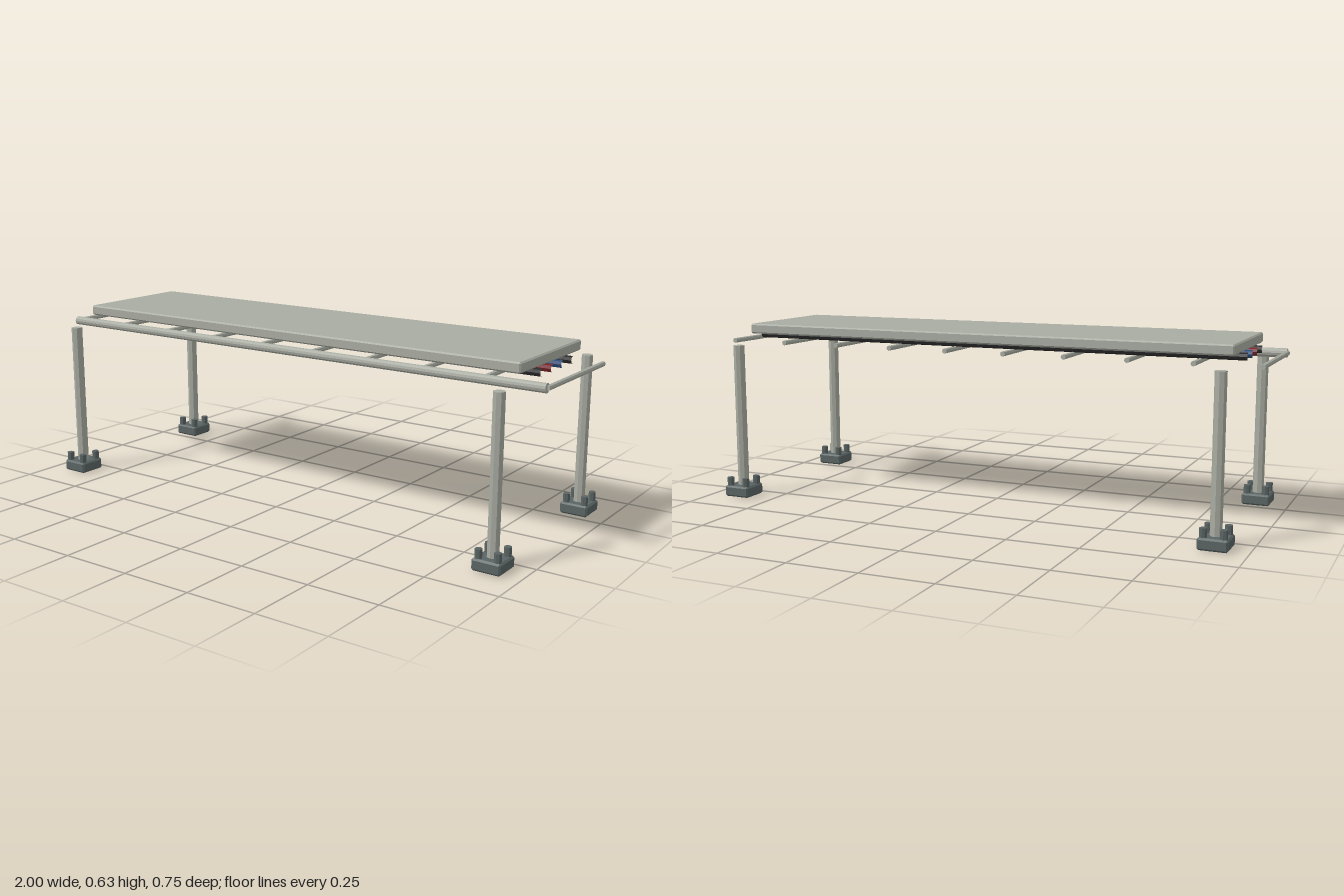
import * as THREE from 'three';
import { ConvexGeometry } from 'three/addons/geometries/ConvexGeometry.js';

function material(name, color) {
  const m = new THREE.MeshStandardMaterial({ color, flatShading: true });
  m.name = name;
  return m;
}

// Box with every edge chamfered by c
function chamferBox(w, h, d, c) {
  const pts = [];
  for (const sx of [-1, 1]) for (const sy of [-1, 1]) for (const sz of [-1, 1]) {
    const x = sx * w / 2, y = sy * h / 2, z = sz * d / 2;
    pts.push(
      new THREE.Vector3(x, y - sy * c, z - sz * c),
      new THREE.Vector3(x - sx * c, y, z - sz * c),
      new THREE.Vector3(x - sx * c, y - sy * c, z));
  }
  return new ConvexGeometry(pts);
}

export function createModel() {
  const concrete = material('pale grey', 0xa9aca2);
  const iron = material('dark slate', 0x5a6464);
  const black = material('black', 0x2a2a2a);
  const red = material('dark red', 0x7a2428);
  const blue = material('dark blue', 0x2c4a78);

  const model = new THREE.Group();
  model.name = 'cableWalkway';

  function add(parent, name, geometry, mat, x, y, z) {
    const mesh = new THREE.Mesh(geometry, mat);
    mesh.name = name;
    mesh.position.set(x, y, z);
    parent.add(mesh);
    return mesh;
  }

  // Deck slab
  add(model, 'deck', chamferBox(1.81, 0.036, 0.45, 0.005), concrete, 0, 0.61, 0);

  // Cables under the deck: open tubes along x
  const cableGeo = new THREE.CylinderGeometry(0.013, 0.013, 1.85, 8, 1, true).rotateZ(Math.PI / 2);
  [black, blue, red, black].forEach((mat, i) => {
    add(model, 'cable', cableGeo, mat, 0, 0.58, -0.115 + i * 0.0767);
  });

  // Front rail with ten cross bars running backwards
  const railGeo = new THREE.CylinderGeometry(0.016, 0.016, 1.982, 12).rotateZ(Math.PI / 2);
  add(model, 'frontRail', railGeo, concrete, 0, 0.56, 0.217);
  const barGeo = new THREE.CylinderGeometry(0.009, 0.009, 0.423, 8).rotateX(Math.PI / 2);
  for (let i = 0; i < 10; i++) {
    add(model, 'crossBar', barGeo, concrete, -0.991 + i * 1.982 / 9, 0.56, 0.0055);
  }

  // Four posts, each on a bolted foot
  const postGeo = new THREE.CylinderGeometry(0.02, 0.02, 0.538, 8);
  const footGeo = chamferBox(0.1, 0.04, 0.1, 0.006);
  const boltGeo = new THREE.CylinderGeometry(0.0125, 0.0125, 0.04, 8);
  for (const sx of [-1, 1]) for (const sz of [-1, 1]) {
    const leg = new THREE.Group();
    leg.name = 'leg';
    leg.position.set(sx * 0.888, 0, sz * 0.3235);
    add(leg, 'post', postGeo, concrete, 0, 0.289, 0);
    add(leg, 'foot', footGeo, iron, 0, 0.02, 0);
    for (const bx of [-1, 1]) for (const bz of [-1, 1]) {
      add(leg, 'bolt', boltGeo, iron, bx * 0.033, 0.05, bz * 0.033);
    }
    model.add(leg);
  }
  return model;
}
